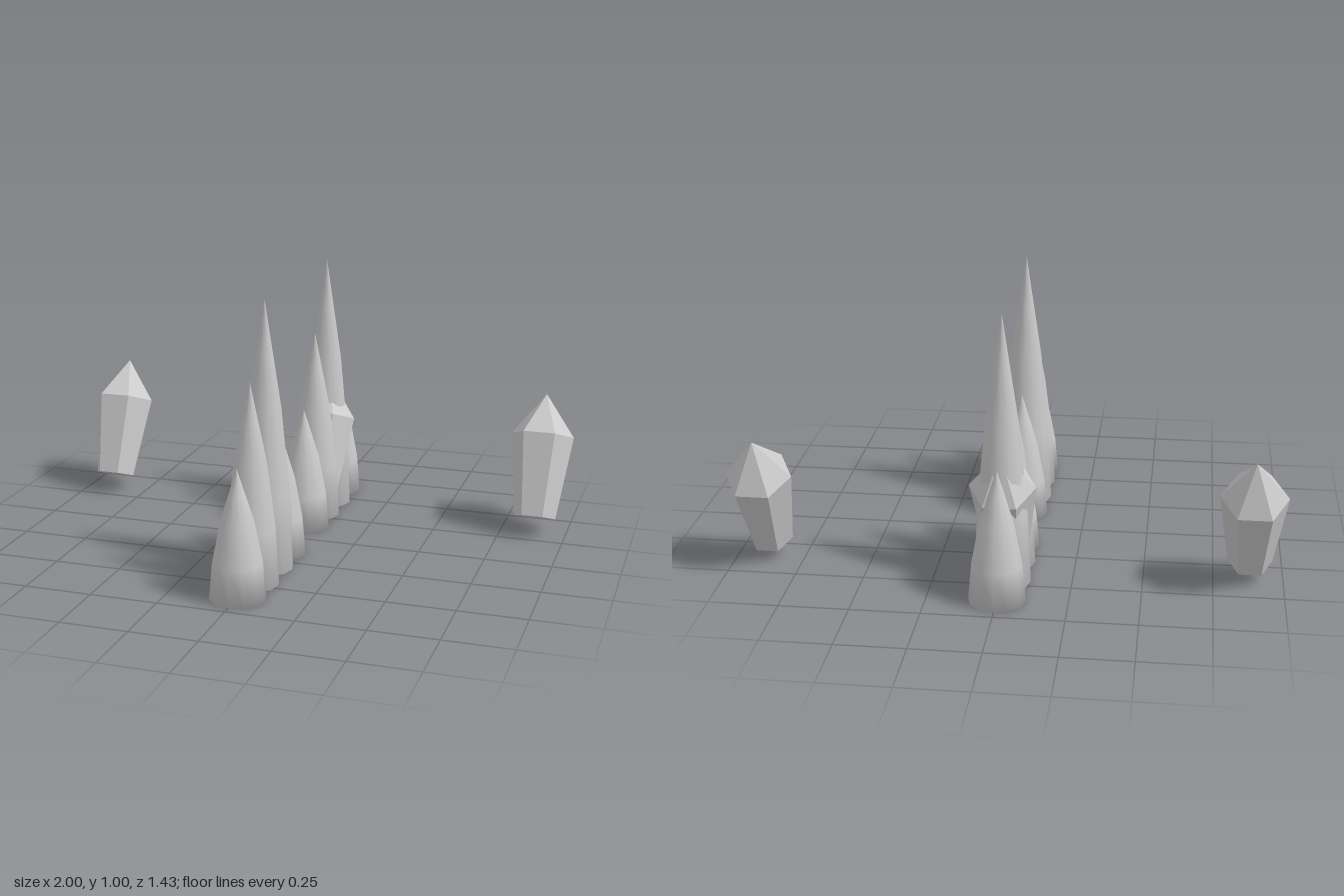
import * as THREE from 'three';

const stone = new THREE.MeshStandardMaterial({ color: 0xcccccc });
const faceted = new THREE.MeshStandardMaterial({ color: 0xcccccc, flatShading: true });

// Pointed spire: swollen foot, shoulder at 60 % of the height, slim tip
function spire(height, z, index) {
  const profile = [[0, 0], [0.102, 0], [0.09, 0.28], [0.06, 0.6], [0.03, 0.8], [0, 1]]
    .map(([r, t]) => new THREE.Vector2(r, t * height));
  const mesh = new THREE.Mesh(new THREE.LatheGeometry(profile, 12), stone);
  mesh.position.z = z;
  mesh.name = `spire${index + 1}`;
  return mesh;
}

// Six-sided crystal: tapered shaft with a pyramid point, leaning back
function crystal(x, name) {
  const profile = [[0, 0], [0.08, 0], [0.12, 0.32], [0, 0.482]]
    .map(([r, y]) => new THREE.Vector2(r, y));
  // a corner of the hexagon lies on the x axis
  const geometry = new THREE.LatheGeometry(profile, 6, Math.PI / 2);
  const mesh = new THREE.Mesh(geometry, faceted);
  mesh.scale.z = 1.06;
  mesh.rotation.x = -0.393;
  mesh.position.set(x, 0.065, -0.33);
  mesh.name = name;
  return mesh;
}

export function createModel() {
  const group = new THREE.Group();
  group.name = 'crystalSpires';

  // Two rows of four spires along the centre line
  const spires = [
    [0.615, 0.47], [0.472, 0.74], [0.31, 1], [0.155, 0.49],
    [-0.155, 0.47], [-0.3, 0.74], [-0.461, 1], [-0.615, 0.49],
  ];
  spires.forEach(([z, height], i) => group.add(spire(height, z, i)));

  // Three floating crystals side by side
  group.add(crystal(-0.88, 'rightCrystal'));
  group.add(crystal(0, 'centreCrystal'));
  group.add(crystal(0.88, 'leftCrystal'));

  return group;
}
